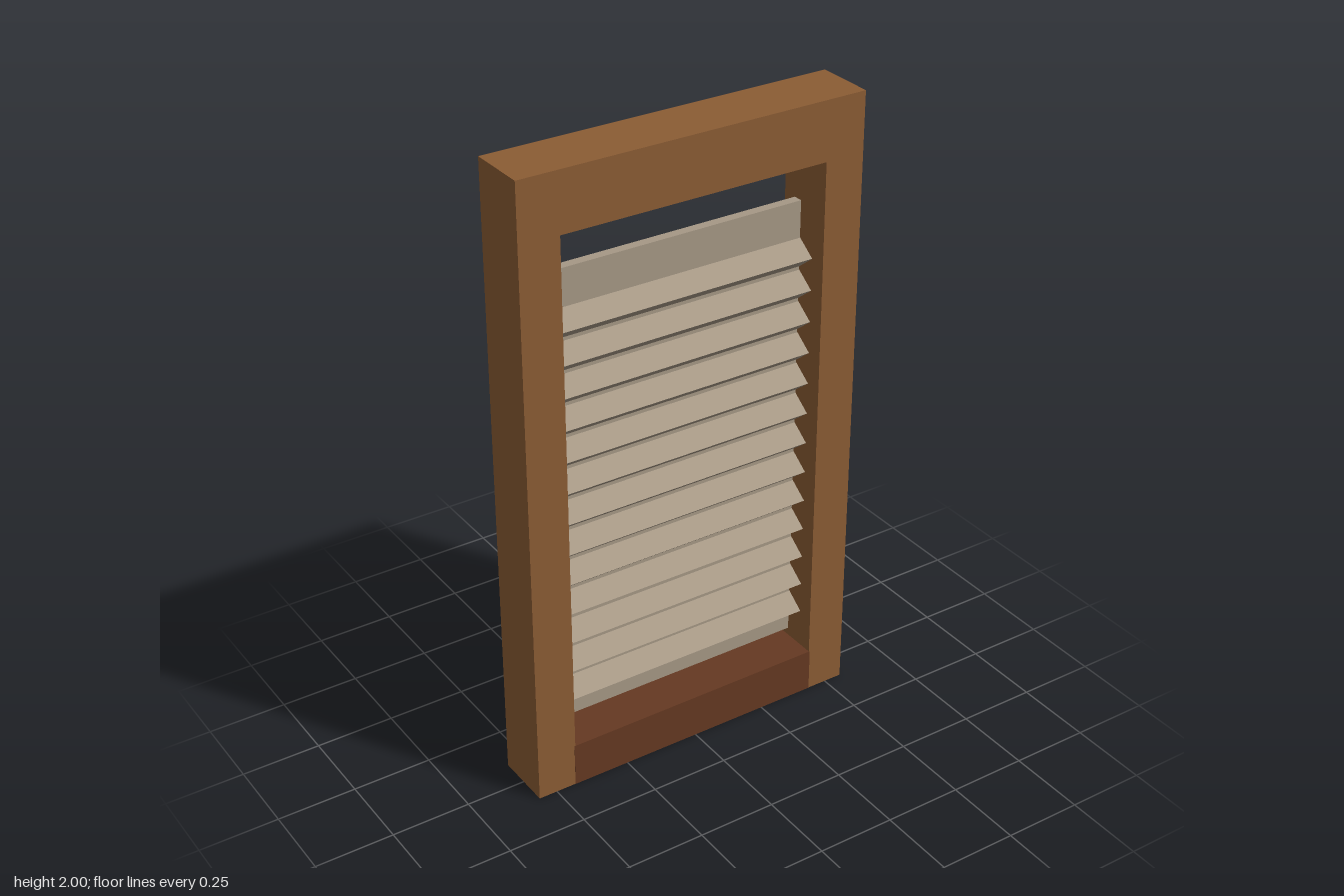
import * as THREE from 'three';

export function createModel() {
  const model = new THREE.Group();
  model.name = 'louvredWindow';

  const material = (name, color) => {
    const m = new THREE.MeshStandardMaterial({ color });
    m.name = name;
    return m;
  };
  const wood = material('brown wood', 0x8b5c34);
  const darkWood = material('dark wood', 0x653922);
  const slatPaint = material('taupe paint', 0xa69885);

  const add = (name, geometry, mat, x = 0, y = 0, z = 0) => {
    const mesh = new THREE.Mesh(geometry, mat);
    mesh.name = name;
    mesh.position.set(x, y, z);
    model.add(mesh);
    return mesh;
  };
  const polygon = (points) => new THREE.Shape(points.map(([x, y]) => new THREE.Vector2(x, y)));

  // Two stiles and the header, as one upside-down U
  const W = 0.56, inner = 0.432, depth = 0.19;
  const frame = new THREE.ExtrudeGeometry(polygon([
    [-W, 0], [-inner, 0], [-inner, 1.815], [inner, 1.815],
    [inner, 0], [W, 0], [W, 2], [-W, 2],
  ]), { depth, bevelEnabled: false });
  frame.translate(0, 0, -depth / 2);
  add('frame', frame, wood);

  // Sill between the stiles, a hair proud of them
  add('sill', new THREE.BoxGeometry(0.87, 0.143, depth + 0.002), darkWood, 0, 0.0715, 0);

  // Backing panel that carries the slats
  const panelFront = -0.015;
  add('panel', new THREE.BoxGeometry(0.86, 1.488, 0.03), slatPaint, 0, 0.915, panelFront - 0.015);

  // Wedge-shaped slats: profile is (forward, up), turned so it runs along x
  const length = 0.862;
  const slat = new THREE.ExtrudeGeometry(
    polygon([[-0.005, -0.052], [0.06, 0], [-0.005, 0.047]]),
    { depth: length, bevelEnabled: false },
  );
  slat.translate(0, 0, -length / 2);
  slat.rotateY(-Math.PI / 2);
  for (let i = 0; i < 13; i++) {
    add('slat', slat, slatPaint, 0, 1.498 - i * 0.1023, panelFront);
  }

  return model;
}
